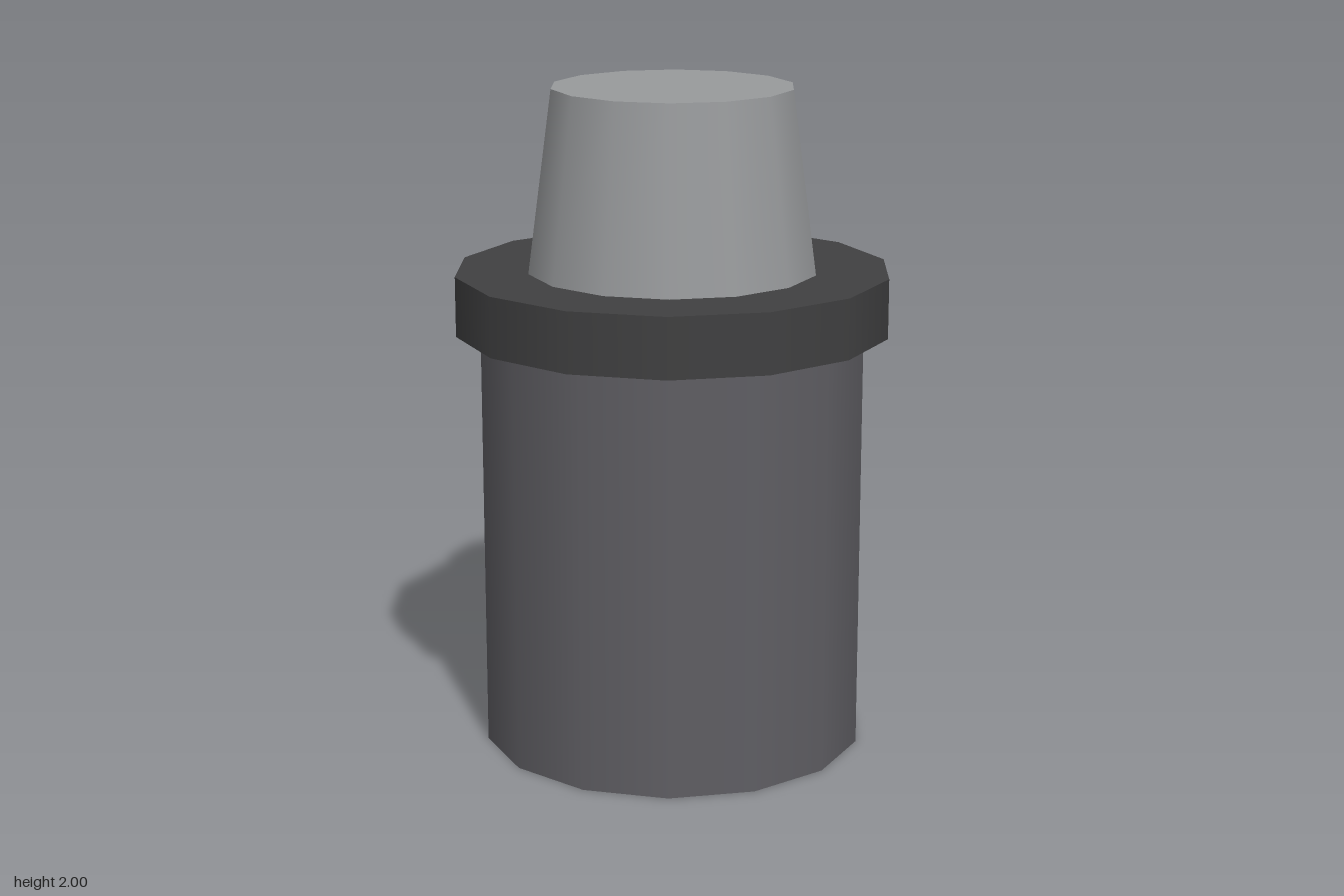
import * as THREE from 'three';

const SIDES = 14;

// Smooth-sided, capped 14-gon section with corners on the x axis
function section(name, bottomRadius, topRadius, y0, y1, color) {
  const geometry = new THREE.CylinderGeometry(
    topRadius, bottomRadius, y1 - y0, SIDES, 1, false, Math.PI / 2);
  const mesh = new THREE.Mesh(geometry, new THREE.MeshStandardMaterial({ color }));
  mesh.name = name;
  mesh.position.y = (y0 + y1) / 2;
  return mesh;
}

export function createModel() {
  const model = new THREE.Group();
  model.name = 'cappedContainer';
  model.add(
    section('body', 0.58, 0.58, 0, 1.275, 0x5f5e63),
    section('collar', 0.653, 0.653, 1.275, 1.455, 0x404041),
    section('taperedTop', 0.435, 0.362, 1.455, 2, 0x989a9c)
  );
  return model;
}
